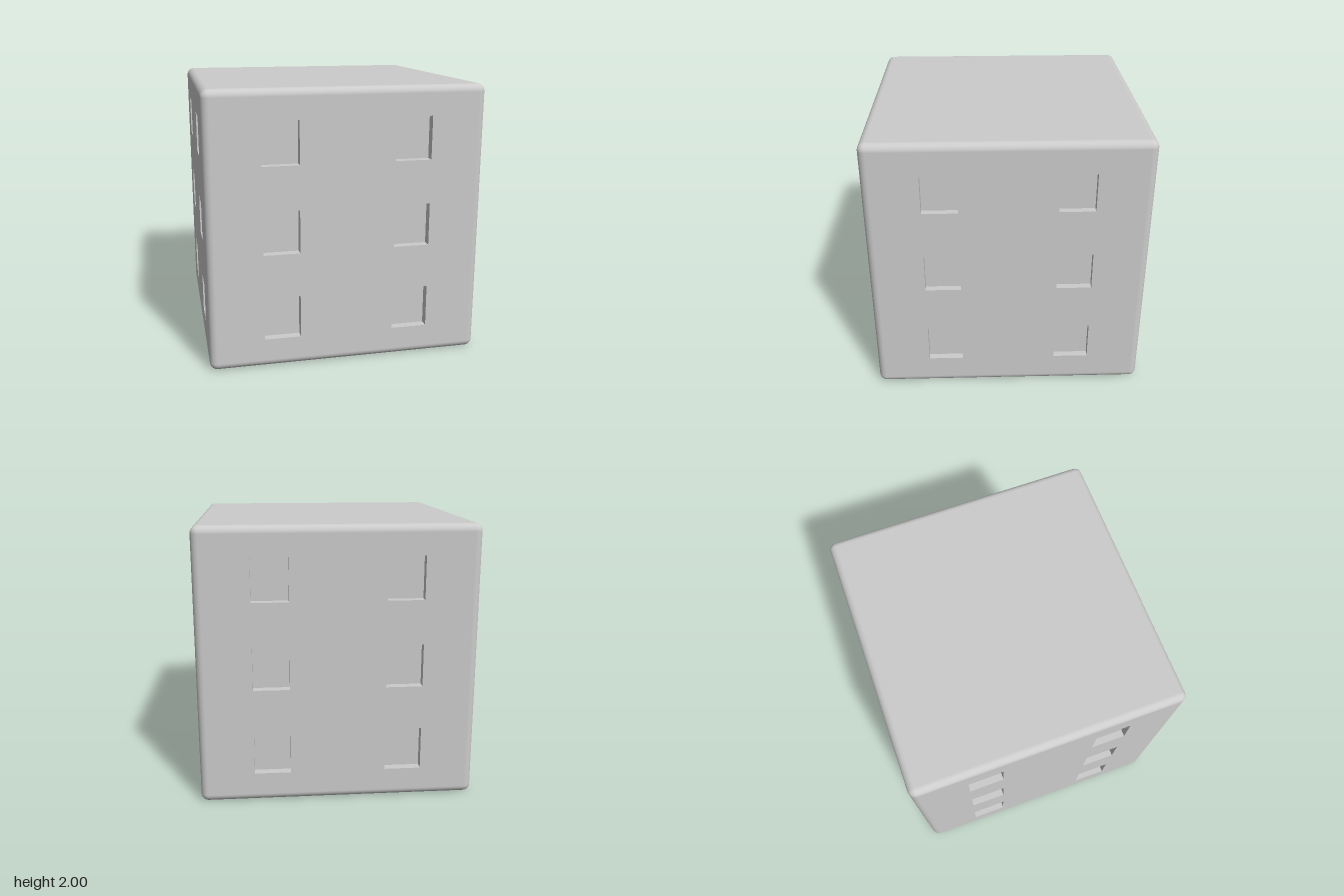
import * as THREE from 'three';
import { RoundedBoxGeometry } from 'three/addons/geometries/RoundedBoxGeometry.js';

const HALF = 0.997;      // half the block's width and depth
const RADIUS = 0.055;    // rounding of the edges
const ROWS = [0.37, 1.0, 1.63];
const COLUMNS = [-0.473, 0.473];

// Rounded block without its four flat wall panels
function shellGeometry() {
  const full = new RoundedBoxGeometry(2 * HALF, 2, 2 * HALF, 5, RADIUS).toNonIndexed();
  const pos = full.attributes.position;
  const nor = full.attributes.normal;
  const positions = [], normals = [];
  for (let i = 0; i < pos.count; i += 3) {
    const onWall = (get) => [0, 1, 2].every((k) => Math.abs(Math.abs(pos[get](i + k)) - HALF) < 1e-4);
    if (onWall('getX') || onWall('getZ')) continue;
    for (let k = i; k < i + 3; k++) {
      positions.push(pos.getX(k), pos.getY(k), pos.getZ(k));
      normals.push(nor.getX(k), nor.getY(k), nor.getZ(k));
    }
  }
  const geo = new THREE.BufferGeometry();
  geo.setAttribute('position', new THREE.Float32BufferAttribute(positions, 3));
  geo.setAttribute('normal', new THREE.Float32BufferAttribute(normals, 3));
  return geo;
}

function rectangle(path, cx, cy, w, h) {
  path.moveTo(cx - w / 2, cy - h / 2);
  path.lineTo(cx + w / 2, cy - h / 2);
  path.lineTo(cx + w / 2, cy + h / 2);
  path.lineTo(cx - w / 2, cy + h / 2);
  path.closePath();
  return path;
}

// Open box seen from inside, its mouth on z = 0
function recessGeometry(w, h, depth) {
  const geo = new THREE.BoxGeometry(w, h, depth).translate(0, 0, -depth / 2);
  const index = Array.from(geo.index.array);
  index.splice(24, 6); // remove the outer side
  geo.clearGroups();
  geo.setIndex(index.reverse());
  const n = geo.attributes.normal;
  for (let i = 0; i < n.count; i++) n.setXYZ(i, -n.getX(i), -n.getY(i), -n.getZ(i));
  return geo;
}

// One wall with its six window recesses, facing +z
function createWall(name, w, h, depth, material) {
  const wall = new THREE.Group();
  wall.name = name;
  const panel = rectangle(new THREE.Shape(), 0, 1, 2 * (HALF - RADIUS), 2 * (1 - RADIUS));
  const recess = recessGeometry(w, h, depth);
  for (const y of ROWS) {
    for (const x of COLUMNS) {
      panel.holes.push(rectangle(new THREE.Path(), x, y, w, h));
      const win = new THREE.Mesh(recess, material);
      win.name = 'windowRecess';
      win.position.set(x, y, HALF);
      wall.add(win);
    }
  }
  const face = new THREE.Mesh(new THREE.ShapeGeometry(panel), material);
  face.name = 'wallPanel';
  face.position.z = HALF;
  wall.add(face);
  return wall;
}

export function createModel() {
  const model = new THREE.Group();
  model.name = 'windowedBlock';
  const material = new THREE.MeshStandardMaterial({ color: 0xcccccc });

  // Top, bottom and rounded edges
  const shell = new THREE.Mesh(shellGeometry(), material);
  shell.name = 'roundedShell';
  shell.position.y = 1;
  model.add(shell);

  // Four walls; the side windows are a little smaller and shallower
  ['frontWall', 'leftWall', 'backWall', 'rightWall'].forEach((name, i) => {
    const wall = i % 2 === 0
      ? createWall(name, 0.262, 0.311, 0.065, material)
      : createWall(name, 0.255, 0.284, 0.05, material);
    wall.rotation.y = (i * Math.PI) / 2;
    model.add(wall);
  });
  return model;
}
